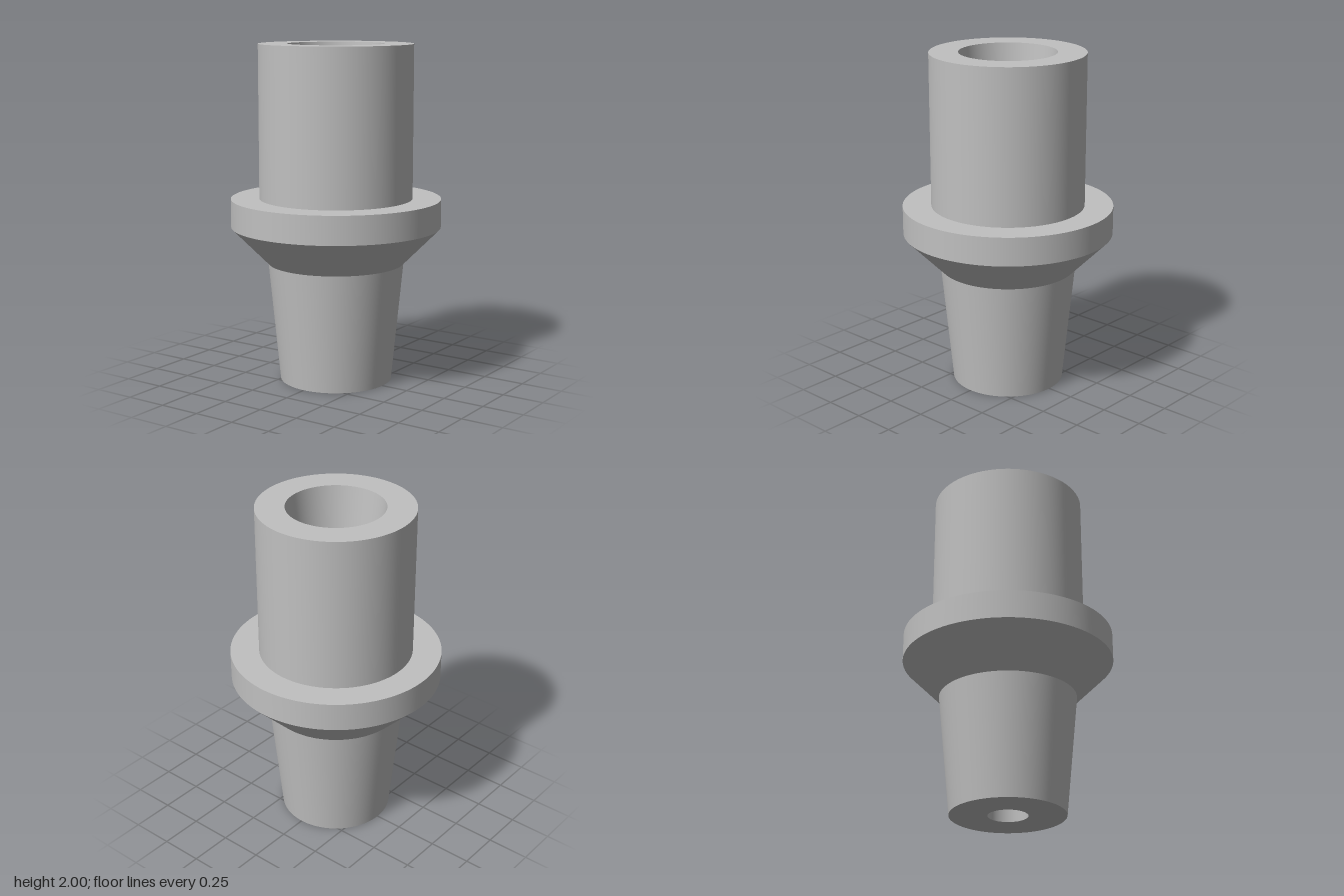
import * as THREE from 'three';

export function createModel() {
  const group = new THREE.Group();
  group.name = 'taperedSleeve';
  const grey = new THREE.MeshStandardMaterial({ color: 0xc0c0c0 });
  grey.name = 'grey metal';

  // Closed section [radius, height, name of the face ending here]; each step
  // is its own lathe so the turned edges stay crisp and the walls smooth.
  const section = [
    [0.115, 0],
    [0.333, 0, 'bottomFace'],
    [0.402, 0.71, 'taperedSpigot'],
    [0.62, 0.93, 'collarChamfer'],
    [0.62, 1.097, 'collarRim'],
    [0.452, 1.097, 'collarTop'],
    [0.452, 2, 'upperSleeve'],
    [0.283, 2, 'topFace'],
    [0.125, 0.6, 'taperedSocket'],
    [0.115, 0.6, 'socketStep'],
    [0.115, 0, 'throughHole'],
  ];
  for (let i = 1; i < section.length; i++) {
    const ends = [section[i - 1], section[i]].map(([r, y]) => new THREE.Vector2(r, y));
    const mesh = new THREE.Mesh(new THREE.LatheGeometry(ends, 96), grey);
    mesh.name = section[i][2];
    group.add(mesh);
  }
  return group;
}
